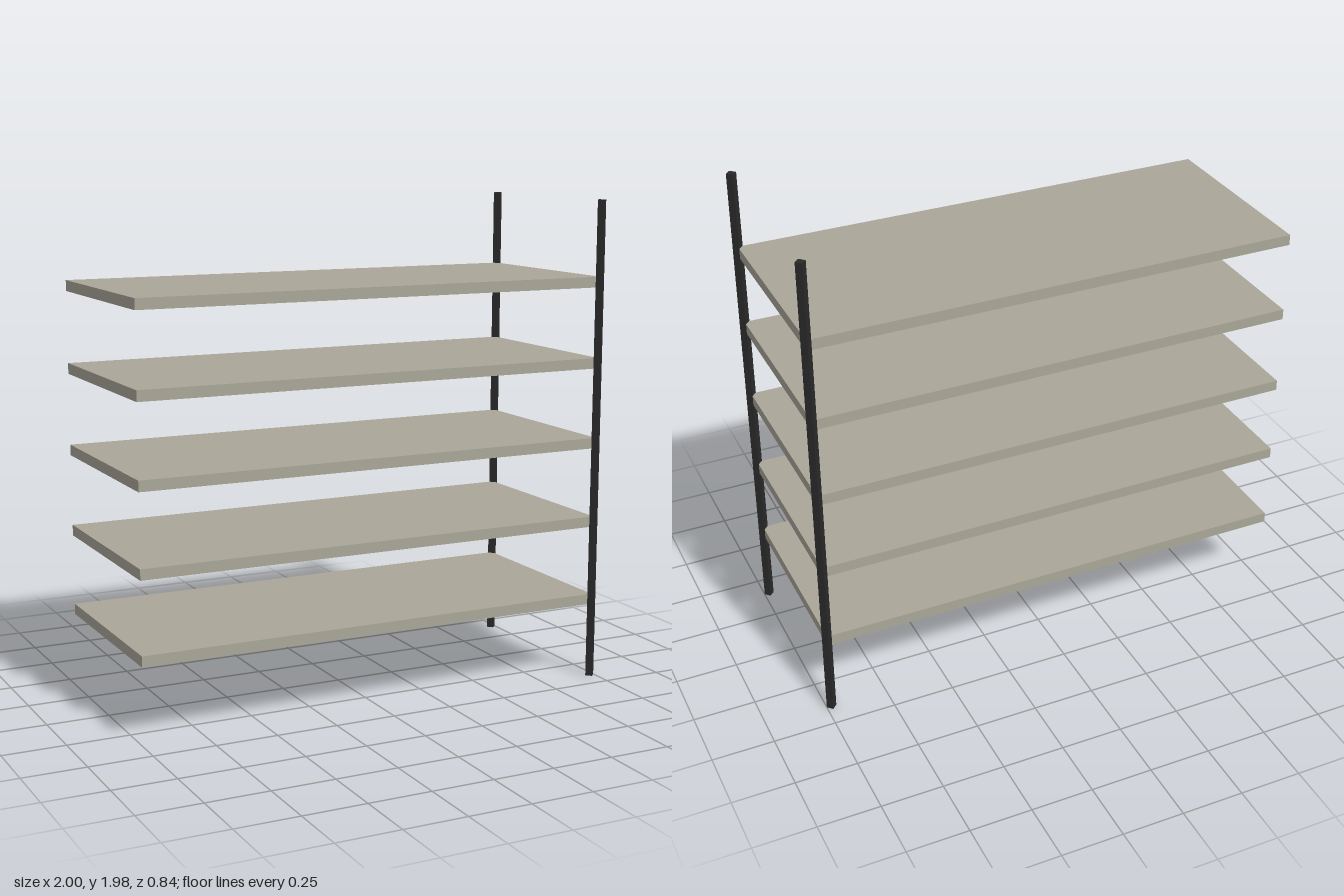
import * as THREE from 'three';

const HEIGHT = 1.98;
const DEPTH = 0.8;
const POST_X = 0.98;

export function createModel() {
  const group = new THREE.Group();
  group.name = 'shelfUnit';

  const shelfMaterial = new THREE.MeshStandardMaterial({ color: 0xaaa698 });
  const postMaterial = new THREE.MeshStandardMaterial({ color: 0x2a2a2a, flatShading: true });

  // Five evenly spaced boards, running from the open end to the post centres
  const boardLength = POST_X + 1;
  const boardGeometry = new THREE.BoxGeometry(boardLength, 0.043, DEPTH);
  for (let i = 1; i <= 5; i++) {
    const shelf = new THREE.Mesh(boardGeometry, shelfMaterial);
    shelf.name = `shelf${i}`;
    shelf.position.set(POST_X - boardLength / 2, (HEIGHT * i) / 6, 0);
    group.add(shelf);
  }

  // Four-sided posts, turned corner-on, at the two corners of the left end
  const postGeometry = new THREE.CylinderGeometry(0.02, 0.02, HEIGHT, 4);
  for (const [name, side] of [['frontPost', 1], ['backPost', -1]]) {
    const post = new THREE.Mesh(postGeometry, postMaterial);
    post.name = name;
    post.position.set(POST_X, HEIGHT / 2, (side * DEPTH) / 2);
    group.add(post);
  }

  return group;
}
